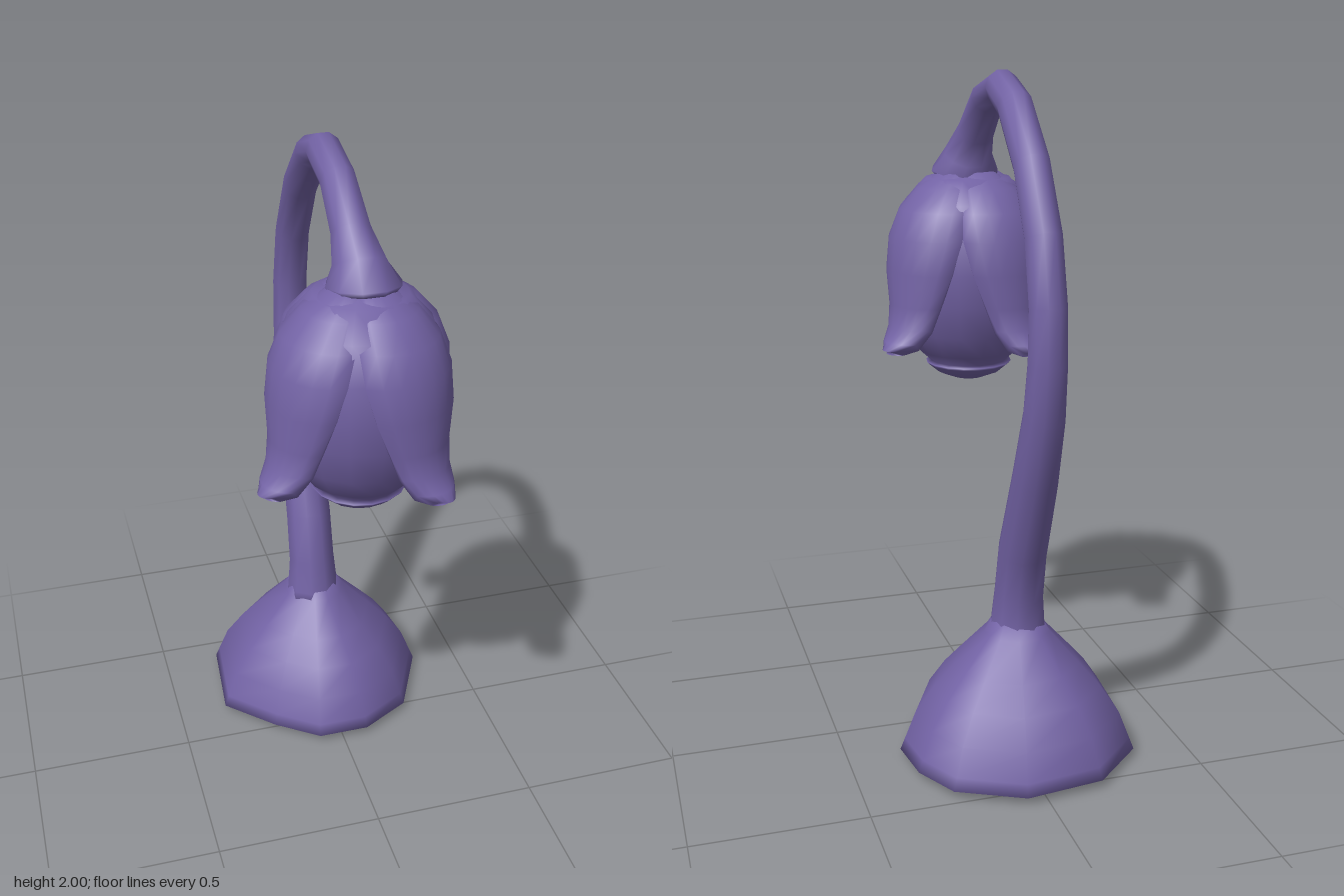
import * as THREE from 'three';

const purple = new THREE.MeshStandardMaterial({ color: 0x7262a4 });
purple.name = 'purple';

// Closed skin over rings of equal point count (counter-clockwise along the travel direction)
function loft(rings) {
  const n = rings[0].length, pos = [], idx = [];
  rings.forEach(r => r.forEach(p => pos.push(p.x, p.y, p.z)));
  for (let i = 0; i < rings.length - 1; i++)
    for (let j = 0; j < n; j++) {
      const k = (j + 1) % n, a = i * n + j, b = i * n + k, c = a + n, d = b + n;
      idx.push(a, b, d, a, d, c);
    }
  // End caps
  [0, rings.length - 1].forEach((row, end) => {
    const c = new THREE.Vector3();
    rings[row].forEach(p => c.addScaledVector(p, 1 / n));
    const ci = pos.length / 3;
    pos.push(c.x, c.y, c.z);
    for (let j = 0; j < n; j++) {
      const a = row * n + j, b = row * n + (j + 1) % n;
      if (end) idx.push(ci, a, b); else idx.push(ci, b, a);
    }
  });
  const g = new THREE.BufferGeometry();
  g.setAttribute('position', new THREE.Float32BufferAttribute(pos, 3));
  g.setIndex(idx);
  g.computeVertexNormals();
  return g;
}

function mesh(name, geometry) {
  const m = new THREE.Mesh(geometry, purple);
  m.name = name;
  return m;
}

// Uneven faceted foot, narrowing up to the stem
function makeBase() {
  const outline = [[0.345, -0.2], [0.235, 0.03], [0.08, 0.115], [-0.08, 0.115], [-0.21, 0.02], [-0.35, -0.12],
    [-0.325, -0.4], [-0.17, -0.545], [0.065, -0.575], [0.255, -0.48], [0.325, -0.35]].reverse();
  const profile = [[0.6, 0], [0.88, 0.003], [1, 0.025], [0.96, 0.06], [0.87, 0.14], [0.71, 0.22], [0.53, 0.29], [0.28, 0.385], [0.2, 0.43]];
  const cx = -0.01, cz = -0.23;
  return mesh('base', loft(profile.map(([s, y]) =>
    outline.map(([x, z]) => new THREE.Vector3(cx + (x - cx) * s, y, cz + (z - cz) * s)))));
}

// Curved stem, flaring into a collar over the flower: x, y, z, radius
function makeStem() {
  const path = [[-0.013, 0.34, -0.225, 0.1], [-0.013, 0.4, -0.228, 0.084], [-0.013, 0.5, -0.237, 0.075], [-0.013, 0.65, -0.272, 0.073],
    [-0.013, 0.9, -0.38, 0.067], [-0.013, 1.1, -0.452, 0.06], [-0.013, 1.25, -0.475, 0.056],
    [-0.013, 1.4, -0.475, 0.054], [-0.013, 1.58, -0.432, 0.053], [-0.014, 1.76, -0.325, 0.052],
    [-0.016, 1.905, -0.17, 0.051], [-0.02, 1.95, -0.04, 0.05], [-0.02, 1.915, 0.1, 0.05],
    [-0.015, 1.81, 0.21, 0.056], [-0.005, 1.74, 0.255, 0.075], [0, 1.69, 0.28, 0.105], [0, 1.675, 0.285, 0.09]];
  const pts = path.map(p => new THREE.Vector3(p[0], p[1], p[2]));
  const N = new THREE.Vector3(1, 0, 0), sides = 10;
  return mesh('stem', loft(path.map((p, i) => {
    const T = pts[Math.min(i + 1, pts.length - 1)].clone().sub(pts[Math.max(i - 1, 0)]).normalize();
    // The collar opens straight down
    if (i >= pts.length - 2) T.set(0, -1, 0.15).normalize();
    const B = T.clone().cross(N);
    return Array.from({ length: sides }, (_, j) => {
      const a = j / sides * Math.PI * 2;
      return pts[i].clone().addScaledVector(N, Math.cos(a) * p[3]).addScaledVector(B, Math.sin(a) * p[3]);
    });
  })));
}

// Rounded bud with a small lip at its mouth
function makeBud() {
  const profile = [[0, 1.038], [0.05, 1.042], [0.1, 1.062], [0.128, 1.085], [0.135, 1.093], [0.12, 1.098],
    [0.155, 1.13], [0.2, 1.2], [0.23, 1.3], [0.238, 1.4], [0.23, 1.5], [0.195, 1.6], [0.13, 1.67], [0, 1.7]];
  return mesh('bud', new THREE.LatheGeometry(profile.map(p => new THREE.Vector2(...p)), 16));
}

// One petal, curling outward at its tip: y, radius, half angle, thickness, inner drop
function makePetal(angle) {
  const rows = [[1.69, 0.095, 50, 0.04, 0], [1.645, 0.17, 49, 0.04, 0], [1.58, 0.23, 46, 0.04, 0],
    [1.5, 0.265, 42, 0.04, 0], [1.4, 0.28, 35, 0.04, 0], [1.3, 0.282, 26, 0.04, 0],
    [1.235, 0.296, 20, 0.04, 0.01], [1.195, 0.325, 14, 0.03, 0.02], [1.175, 0.347, 7, 0.018, 0.014]];
  const cols = 8;
  return mesh('petal', loft(rows.map(([y, r, half, t, drop]) => {
    const point = (u, inner) => {
      const a = angle + u * half * Math.PI / 180;
      const q = r - 0.03 * u * u - (inner ? t * (1 - 0.5 * u * u) : 0);
      return new THREE.Vector3(Math.cos(a) * q, y - (inner ? drop : 0), Math.sin(a) * q);
    };
    const ring = [];
    for (let j = 0; j <= cols; j++) ring.push(point(j / cols * 2 - 1, false));
    for (let j = cols; j >= 0; j--) ring.push(point(j / cols * 2 - 1, true));
    return ring;
  })));
}

export function createModel() {
  const model = new THREE.Group();
  model.name = 'flowerLamp';
  const flower = new THREE.Group();
  flower.name = 'flower';
  flower.position.set(-0.008, 0, 0.277);
  flower.add(makeBud());
  [156, 61, -28, -113].forEach(d => flower.add(makePetal(d * Math.PI / 180)));
  model.add(makeBase(), makeStem(), flower);
  return model;
}
